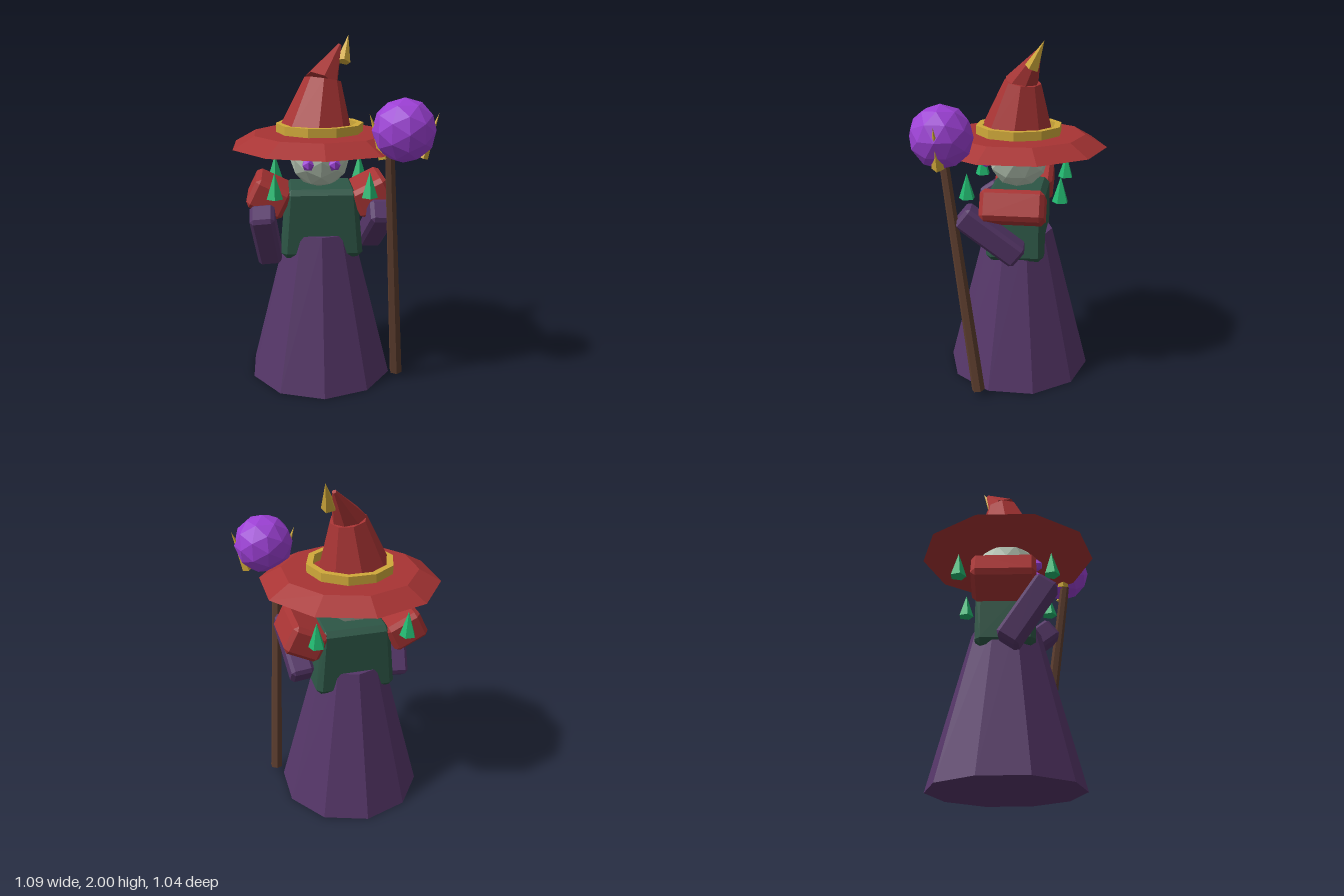
import * as THREE from 'three';
import { ConvexGeometry } from 'three/addons/geometries/ConvexGeometry.js';

const CX = -0.065; // body axis
const CZ = -0.013;

function makeMaterial(name, color) {
  const m = new THREE.MeshStandardMaterial({ color, flatShading: true });
  m.name = name;
  return m;
}

// Box with chamfered edges; taper scales x from bottom to top
function chamferBox(w, h, d, b, taper = 0) {
  const pts = [];
  const half = [w / 2, h / 2, d / 2];
  for (const sx of [-1, 1]) for (const sy of [-1, 1]) for (const sz of [-1, 1]) {
    for (let axis = 0; axis < 3; axis++) {
      const p = [sx, sy, sz].map((s, i) => s * (half[i] - (i === axis ? 0 : b)));
      p[0] *= 1 - taper * (p[1] / h);
      pts.push(new THREE.Vector3(...p));
    }
  }
  return new ConvexGeometry(pts);
}

export function createModel() {
  const root = new THREE.Group();
  root.name = 'wizard';
  const robeMat = makeMaterial('robe purple', 0x553668);
  const redMat = makeMaterial('hat red', 0xa83434);
  const goldMat = makeMaterial('gold', 0xd0a93a);
  const greenMat = makeMaterial('vest green', 0x2d5646);
  const skinMat = makeMaterial('pale skin', 0xb6c6b4);
  const orbMat = makeMaterial('orb purple', 0x9c40d4);
  const woodMat = makeMaterial('staff wood', 0x5c3d2e);
  const crystalMat = makeMaterial('crystal green', 0x22b870);

  function add(name, geometry, material, x = 0, y = 0, z = 0) {
    const mesh = new THREE.Mesh(geometry, material);
    mesh.name = name;
    mesh.position.set(x, y, z);
    root.add(mesh);
    return mesh;
  }

  // Cylinder or cone running from point a to point b
  function between(name, a, b, ra, rb, sides, material) {
    const A = new THREE.Vector3(...a);
    const dir = new THREE.Vector3(...b).sub(A);
    const len = dir.length();
    const geo = new THREE.CylinderGeometry(rb, ra, len, sides);
    geo.translate(0, len / 2, 0);
    const mesh = add(name, geo, material, ...a);
    mesh.quaternion.setFromUnitVectors(new THREE.Vector3(0, 1, 0), dir.normalize());
    return mesh;
  }

  // Body
  add('robe', new THREE.CylinderGeometry(0.2, 0.43, 0.89, 10), robeMat, CX, 0.445, CZ);
  add('vest', chamferBox(0.438, 0.405, 0.335, 0.03, 0.17), greenMat, -0.06, 0.957, CZ);

  // Head and eyes
  add('head', new THREE.IcosahedronGeometry(0.175, 1), skinMat, CX, 1.322, -0.008);
  for (const s of [-1, 1]) {
    add(s < 0 ? 'rightEye' : 'leftEye', new THREE.IcosahedronGeometry(0.037, 0), orbMat,
      CX + s * 0.074, 1.31, 0.168);
  }

  // Shoulder pads, arms and floating crystals
  for (const s of [-1, 1]) {
    const side = s < 0 ? 'right' : 'left';
    const pad = add(side + 'ShoulderPad', chamferBox(0.22, 0.175, 0.355, 0.025), redMat,
      CX + s * 0.296, 1.107, -0.017);
    pad.rotation.z = s * 0.46;
    const arm = add(side + 'Arm', chamferBox(0.138, 0.41, 0.138, 0.02), robeMat,
      CX + s * 0.315, s < 0 ? 0.89 : 0.948, 0.111);
    arm.rotation.set(s < 0 ? 0.6 : 0.9, 0, -s * 0.1);
    for (const f of [-1, 1]) {
      add(side + (f < 0 ? 'Back' : 'Front') + 'Crystal', new THREE.ConeGeometry(0.047, 0.145, 5),
        crystalMat, CX + s * 0.26, 1.213, CZ + f * 0.261);
    }
  }

  // Hat: brim, band, two bent sections and a gold tip
  add('hatBrim', new THREE.CylinderGeometry(0.388, 0.513, 0.07, 10), redMat, -0.063, 1.431, -0.005);
  const ring = [[0.213, -0.025], [0.25, -0.025], [0.25, 0.025], [0.213, 0.025], [0.213, -0.025]];
  const band = add('hatBand', new THREE.LatheGeometry(ring.map(p => new THREE.Vector2(...p)), 10),
    goldMat, -0.063, 1.494, CZ);
  band.rotation.y = Math.PI / 10;
  between('hatLowerCone', [-0.085, 1.462, 0], [-0.043, 1.762, -0.037], 0.213, 0.104, 8, redMat);
  between('hatUpperCone', [-0.05, 1.745, -0.03], [0.06, 1.945, -0.137], 0.1, 0.012, 7, redMat);
  between('hatTip', [0.078, 1.852, -0.1], [0.113, 2.0, -0.168], 0.042, 0, 5, goldMat);

  // Staff with orb and claws
  between('staff', [0.382, 0.03, 0.17], [0.284, 1.42, 0.36], 0.038, 0.027, 6, woodMat);
  add('orb', new THREE.IcosahedronGeometry(0.172, 1), orbMat, 0.36, 1.525, 0.345);
  for (const s of [-1, 1]) {
    between(s < 0 ? 'rightClaw' : 'leftClaw', [0.36 + s * 0.1, 1.378, 0.343],
      [0.36 + s * 0.184, 1.613, 0.343], 0.034, 0, 4, goldMat);
  }
  return root;
}
